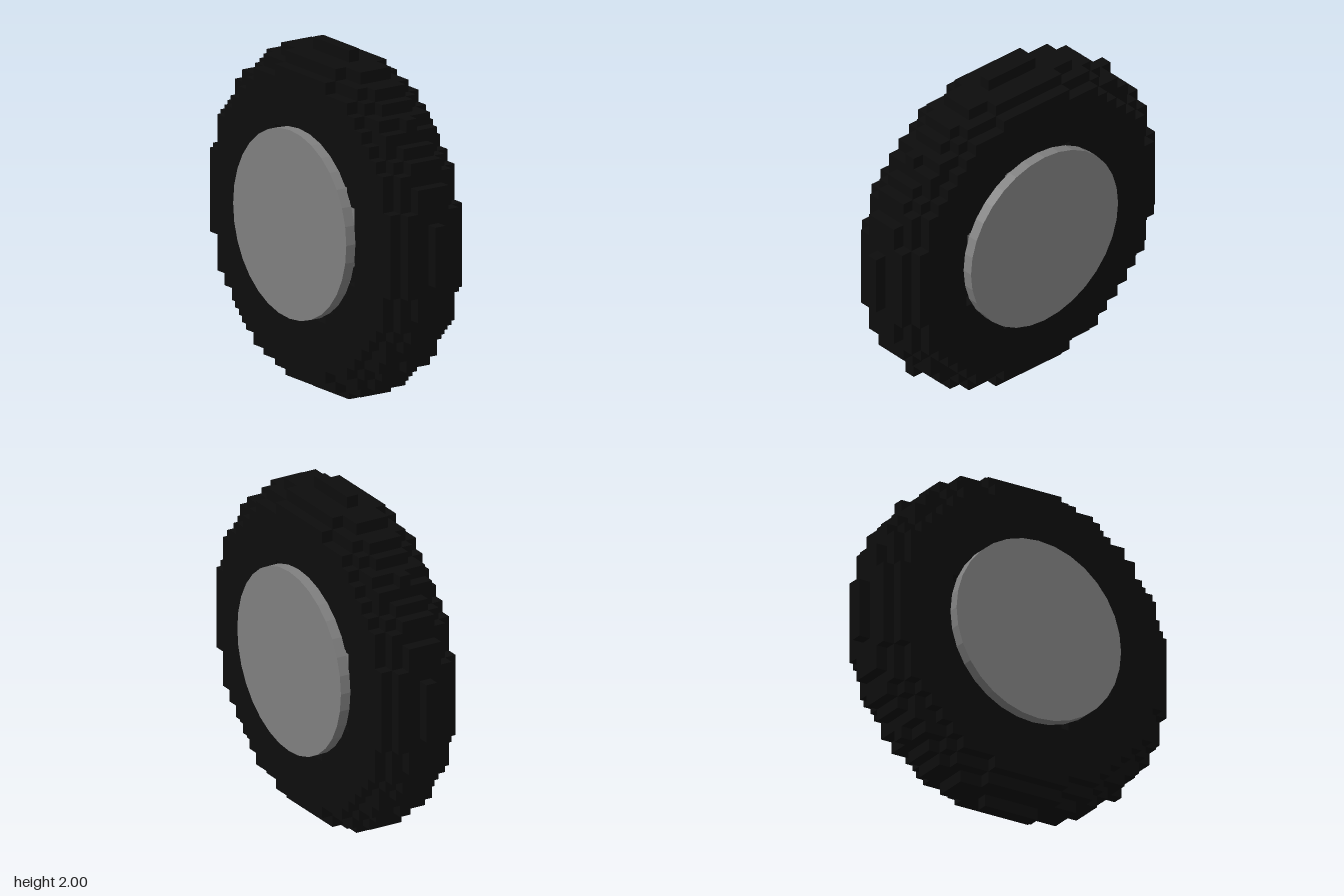
import * as THREE from 'three';
import { mergeGeometries } from 'three/addons/utils/BufferGeometryUtils.js';

const N = 14;            // cells from the centre to the rim
const S = 2 / 29;        // cell size
// outer and inner radius of each slice, in cells, from the middle outwards
const OUTER = [14.15, 13.97, 13.6, 12.6];
const INNER = [6.1, 6.2, 6.6, 7.7];

function filled(x, y, z) {
  const k = Math.abs(z);
  if (k > 3) return false;
  const r = Math.hypot(x, y);
  return r <= OUTER[k] && r >= INNER[k];
}

// stepped ring made of cubes, keeping only the exposed faces
function tireGeometry() {
  const dirs = [[1, 0, 0], [-1, 0, 0], [0, 1, 0], [0, -1, 0], [0, 0, 1], [0, 0, -1]];
  const zAxis = new THREE.Vector3(0, 0, 1);
  const faces = dirs.map((d) => {
    const q = new THREE.Quaternion().setFromUnitVectors(zAxis, new THREE.Vector3(...d));
    return new THREE.PlaneGeometry(S, S)
      .translate(0, 0, S / 2)
      .applyQuaternion(q);
  });
  const parts = [];
  for (let z = -3; z <= 3; z++)
    for (let y = -N; y <= N; y++)
      for (let x = -N; x <= N; x++) {
        if (!filled(x, y, z)) continue;
        dirs.forEach(([dx, dy, dz], i) => {
          if (!filled(x + dx, y + dy, z + dz))
            parts.push(faces[i].clone().translate(x * S, y * S, z * S));
        });
      }
  return mergeGeometries(parts);
}

export function createModel() {
  const wheel = new THREE.Group();
  wheel.name = 'wheel';

  const rubber = new THREE.MeshStandardMaterial({ color: 0x0d0d0d });
  const metal = new THREE.MeshStandardMaterial({ color: 0x808080, flatShading: true });

  const tire = new THREE.Mesh(tireGeometry(), rubber);
  tire.name = 'tire';
  tire.position.set(0, 1, -0.004);
  wheel.add(tire);

  // thin hub discs, one on each side
  for (const side of [1, -1]) {
    const disc = new THREE.Mesh(new THREE.CylinderGeometry(0.541, 0.541, 0.062, 32), metal);
    disc.name = side > 0 ? 'frontHubDisc' : 'backHubDisc';
    disc.rotation.x = Math.PI / 2;
    disc.position.set(0, 1.008, side * 0.278);
    wheel.add(disc);
  }
  return wheel;
}
